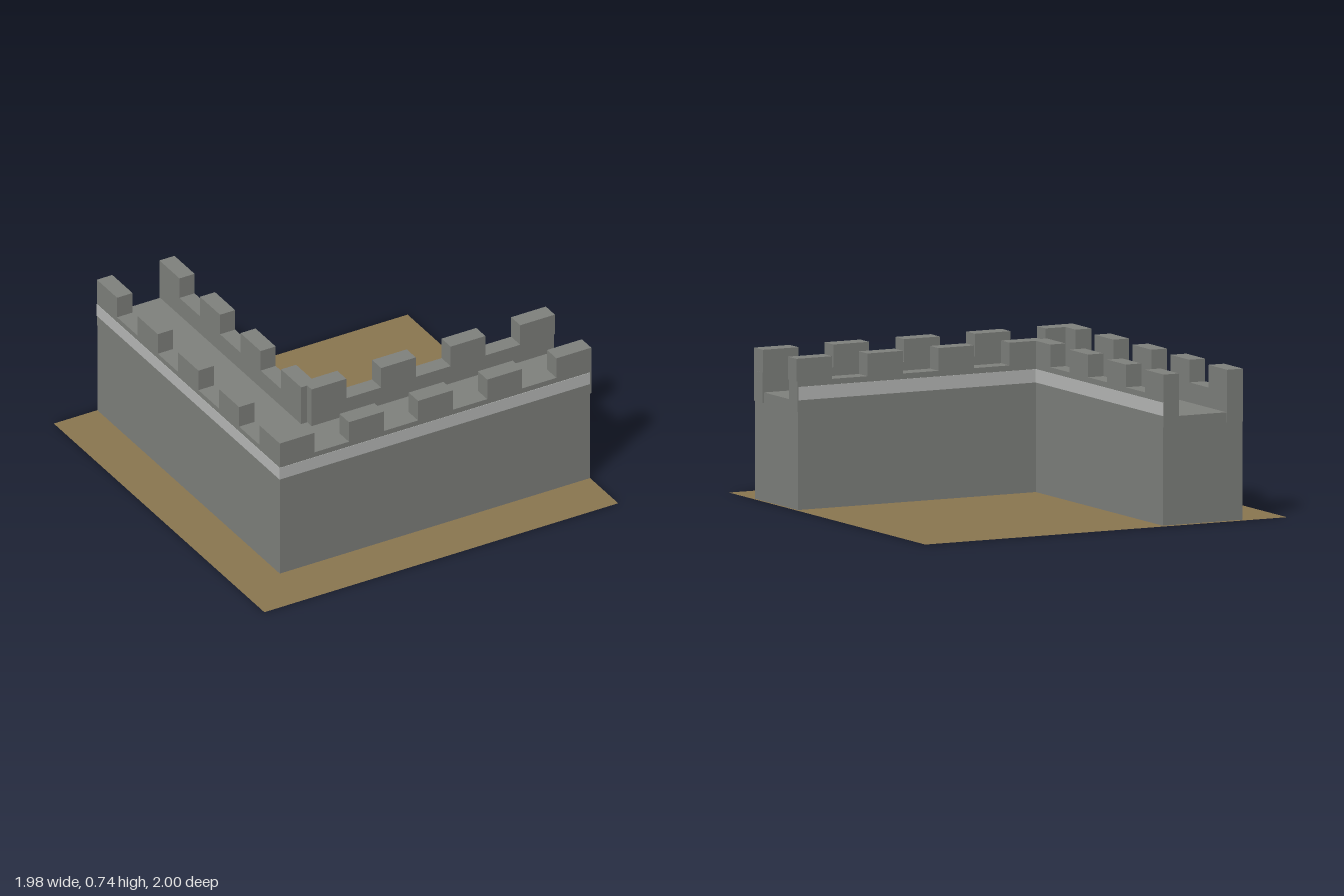
import * as THREE from 'three';

const stone = new THREE.MeshStandardMaterial({ color: 0x80827e });
stone.name = 'stone';
const paleStone = new THREE.MeshStandardMaterial({ color: 0xbabcba });
paleStone.name = 'paleStone';
const earth = new THREE.MeshStandardMaterial({ color: 0x8b7750, side: THREE.DoubleSide });
earth.name = 'earth';

// Box given by its minimum and maximum corners
function block(parent, name, material, [x0, y0, z0], [x1, y1, z1]) {
  const mesh = new THREE.Mesh(new THREE.BoxGeometry(x1 - x0, y1 - y0, z1 - z0), material);
  mesh.position.set((x0 + x1) / 2, (y0 + y1) / 2, (z0 + z1) / 2);
  mesh.name = name;
  parent.add(mesh);
}

const WALK = 0.53, RAIL = 0.627, TOP = 0.737;

// Low wall with merlons; axis is 'x' or 'z', a..b its thickness, spans the merlon ranges
function parapet(name, axis, a, b, start, end, spans) {
  const group = new THREE.Group();
  group.name = name;
  const part = (label, y0, y1, s, e) => axis === 'x'
    ? block(group, label, stone, [s, y0, a], [e, y1, b])
    : block(group, label, stone, [a, y0, s], [b, y1, e]);
  part('rail', 0.48, RAIL, start, end);
  for (const [s, e] of spans) part('merlon', RAIL, TOP, s, e);
  return group;
}

// Evenly spaced merlon ranges
const ranges = (first, step, width, count) =>
  Array.from({ length: count }, (_, i) => [first + i * step, first + i * step + width]);

export function createModel() {
  const model = new THREE.Group();
  model.name = 'castleWallCorner';

  // Ground sheet
  const ground = new THREE.Mesh(new THREE.PlaneGeometry(1.97, 2), earth);
  ground.rotation.x = -Math.PI / 2;
  ground.position.x = -0.005;
  ground.name = 'ground';
  model.add(ground);

  // Wall bodies with the walkway on top
  block(model, 'frontWall', stone, [-0.75, 0.003, 0.302], [0.978, WALK, 0.737]);
  block(model, 'sideWall', stone, [-0.75, 0.003, -0.993], [-0.318, WALK, 0.302]);

  // Parapets on the outer and inner edges
  model.add(
    parapet('frontOuterParapet', 'x', 0.648, 0.737, -0.75, 0.985, ranges(-0.75, 0.385, 0.194, 5)),
    parapet('frontInnerParapet', 'x', 0.302, 0.388, -0.368, 0.98, ranges(-0.368, 0.387, 0.193, 4)),
    parapet('sideOuterParapet', 'z', -0.75, -0.664, -1, 0.737, ranges(-1, 0.3863, 0.192, 5)),
    parapet('sideInnerParapet', 'z', -0.402, -0.318, -1, 0.346, ranges(-1, 0.385, 0.191, 4)),
  );

  // Pale string courses just below the battlements
  const y0 = 0.535, y1 = 0.6, t = 0.002;
  block(model, 'frontOuterBand', paleStone, [-0.75 - t, y0, 0.735], [0.975, y1, 0.737 + t]);
  block(model, 'frontInnerBand', paleStone, [-0.318, y0, 0.302 - t], [0.975, y1, 0.304]);
  block(model, 'sideOuterBand', paleStone, [-0.75 - t, y0, -0.998], [-0.748, y1, 0.737]);
  block(model, 'sideInnerBand', paleStone, [-0.32, y0, -0.998], [-0.318 + t, y1, 0.302]);

  return model;
}
